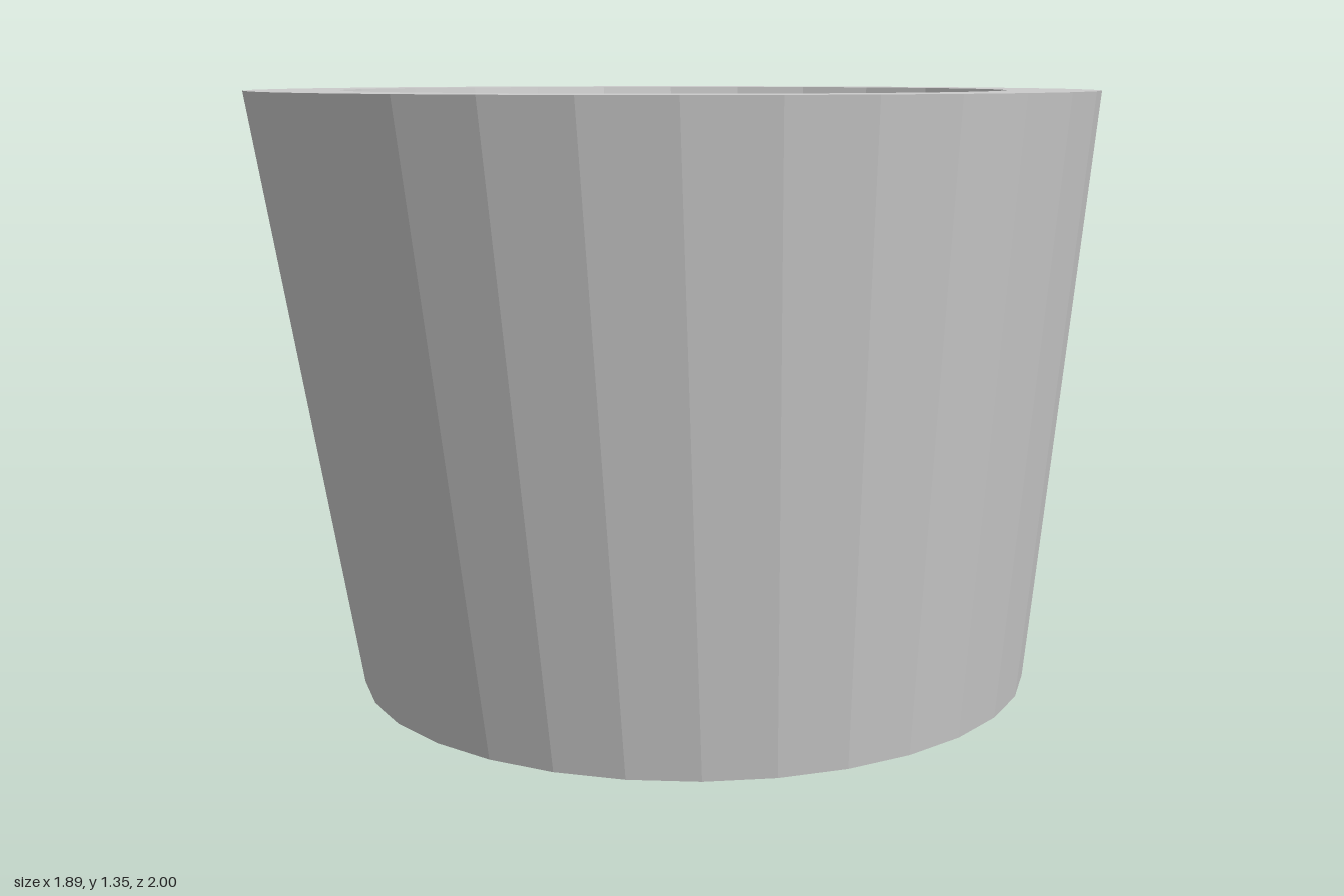
import * as THREE from 'three';

const SIDES = 32;

// One horizontal elliptical ring of points.
function ring(cx, y, cz, rx, rz) {
  return Array.from({ length: SIDES }, (_, i) => {
    const a = (i / SIDES) * Math.PI * 2;
    return [cx + rx * Math.cos(a), y, cz + rz * Math.sin(a)];
  });
}

// Band of facets joining two rings.
function band(a, b) {
  const pos = [];
  for (let i = 0; i < SIDES; i++) {
    const j = (i + 1) % SIDES;
    pos.push(...a[i], ...b[i], ...a[j], ...b[i], ...b[j], ...a[j]);
  }
  const geo = new THREE.BufferGeometry();
  geo.setAttribute('position', new THREE.Float32BufferAttribute(pos, 3));
  geo.computeVertexNormals();
  return geo;
}

export function createModel() {
  const group = new THREE.Group();
  group.name = 'pot';
  const material = new THREE.MeshStandardMaterial({
    color: 0xcccccc, flatShading: true, side: THREE.DoubleSide,
  });

  const drainHole = ring(0.04, 0, -0.05, 0.404, 0.426);
  const base = ring(0.04, 0, -0.045, 0.773, 0.816);
  const rimOuter = ring(0, 1.345, 0, 0.947, 1);
  const rimInner = ring(0, 1.345, 0, 0.743, 0.785);

  const add = (name, a, b) => {
    const mesh = new THREE.Mesh(band(a, b), material);
    mesh.name = name;
    group.add(mesh);
  };

  // Thin leaning wall, open inside, with flat rings at the top and bottom
  add('wall', base, rimOuter);
  add('rim', rimOuter, rimInner);
  add('floor', drainHole, base);
  return group;
}
